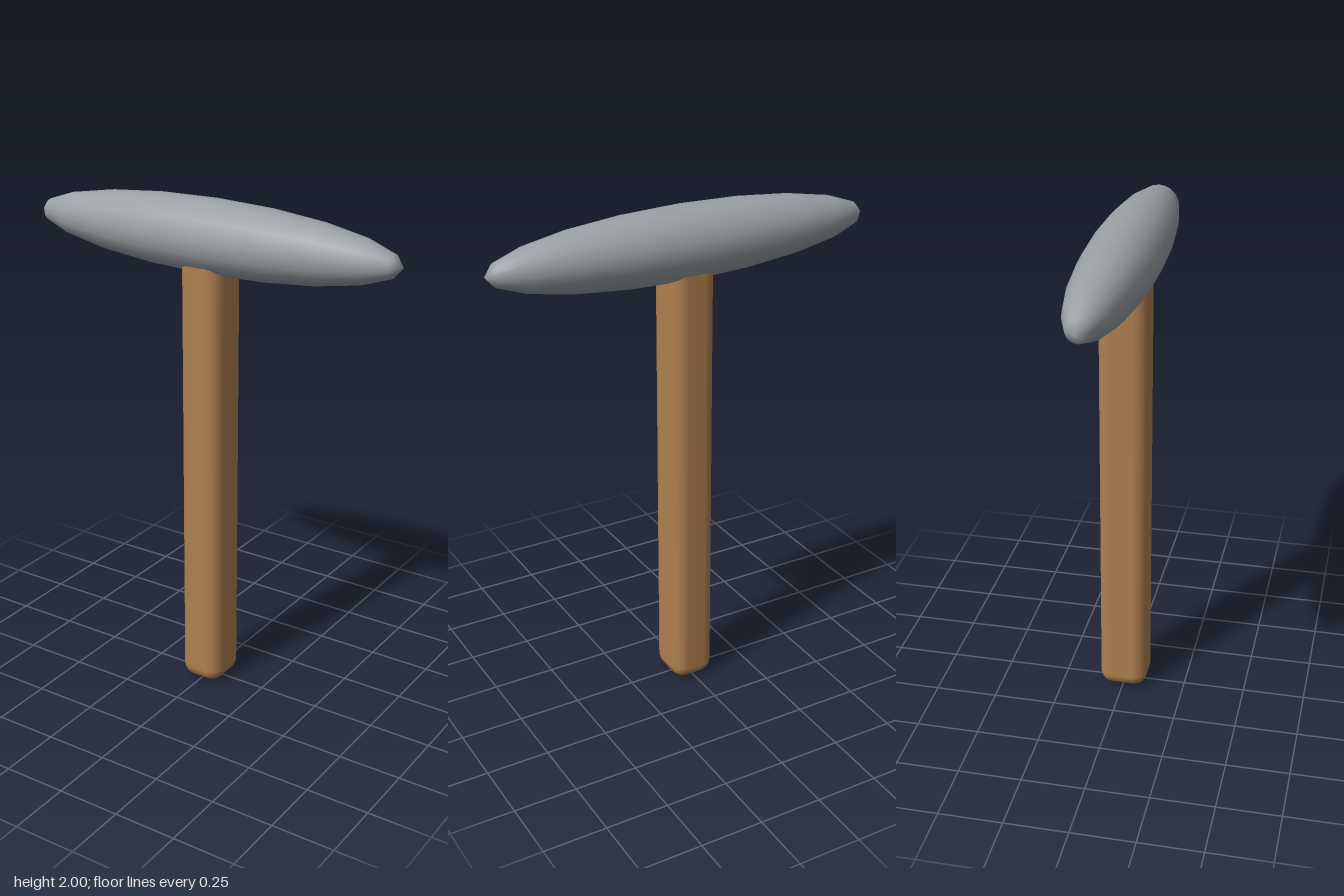
import * as THREE from 'three';
import { RoundedBoxGeometry } from 'three/addons/geometries/RoundedBoxGeometry.js';

export function createModel() {
  const model = new THREE.Group();
  model.name = 'hammer';

  const add = (name, geometry, color, y) => {
    const mesh = new THREE.Mesh(geometry, new THREE.MeshStandardMaterial({ color }));
    mesh.name = name;
    mesh.position.y = y;
    model.add(mesh);
  };

  // Spindle-shaped head: a sphere with its poles on x, stretched along x
  const head = new THREE.SphereGeometry(1, 20, 10);
  head.rotateZ(-Math.PI / 2);
  head.scale(0.79, 0.141, 0.141);
  add('head', head, 0x9aa0a4, 1.859);

  // Straight handle with softened edges, its top end buried in the head
  const top = 1.88;
  add('handle', new RoundedBoxGeometry(0.178, top, 0.195, 2, 0.055), 0xb08050, top / 2);

  return model;
}
